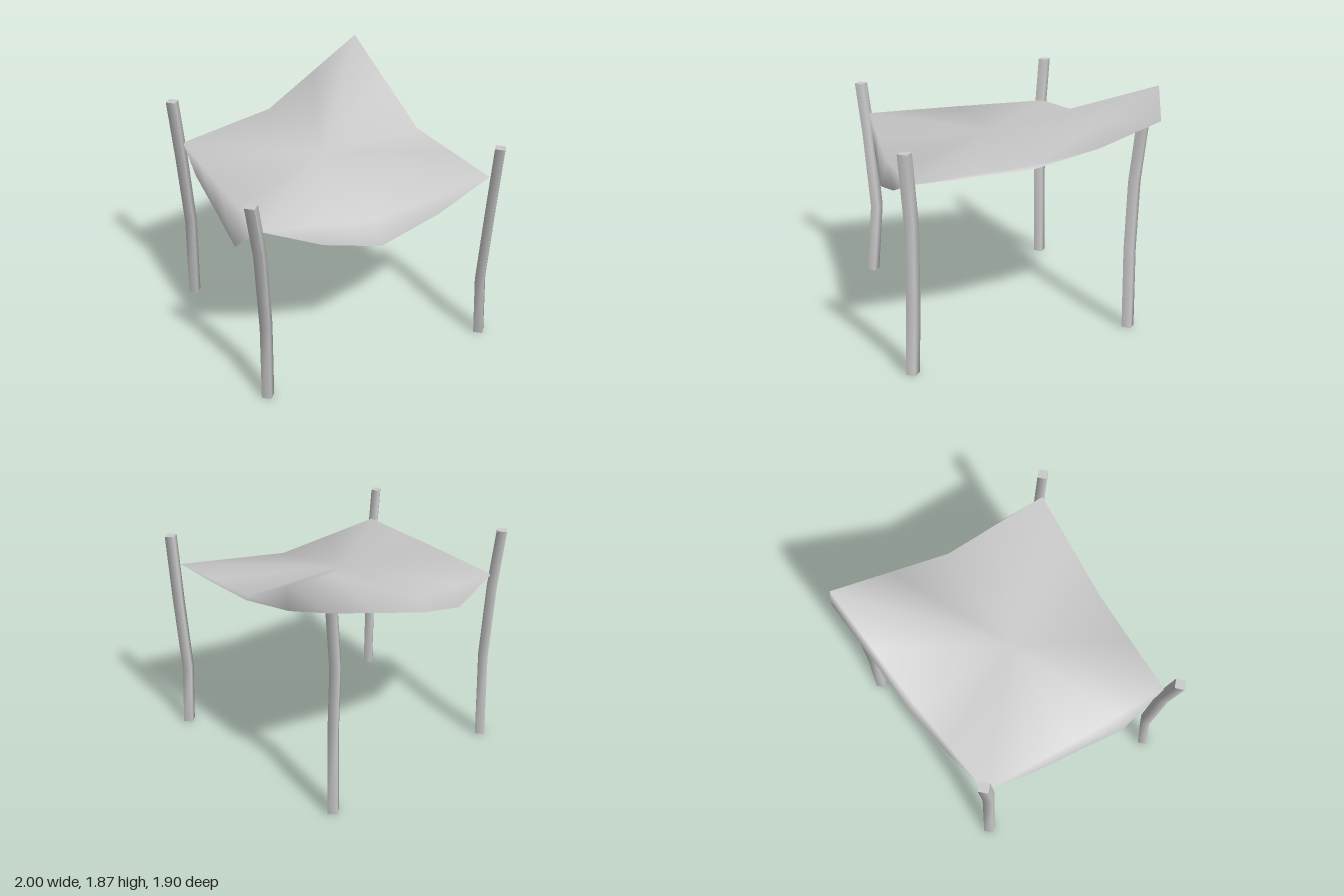
import * as THREE from 'three';

const material = new THREE.MeshStandardMaterial({ color: 0xcccccc, side: THREE.DoubleSide });

// Crooked four-sided pole: each ring of a cylinder is moved to a point [x, y, z], bottom to top
function makePole(name, path) {
  const segments = path.length - 1;
  const geometry = new THREE.CylinderGeometry(0.05, 0.05, 1, 4, segments);
  const pos = geometry.attributes.position;
  for (let i = 0; i < pos.count; i++) {
    const [x, y, z] = path[Math.round((pos.getY(i) + 0.5) * segments)];
    pos.setXYZ(i, pos.getX(i) + x, y, pos.getZ(i) + z);
  }
  geometry.computeVertexNormals();
  const mesh = new THREE.Mesh(geometry, material);
  mesh.name = name;
  return mesh;
}

// Cloth: a fan from the centre to a creased rim, then a flap hanging from rim to hem
function makeCanopy() {
  const centre = [0, 1.4, 0];
  // Corners and side midpoints of the crease, from front right corner round by the front
  const crease = [
    [-0.87, 1.365, 0.73], [0, 1.25, 0.8], [0.9, 1.365, 0.87], [0.87, 1.4, 0],
    [0.86, 1.87, -0.93], [0, 1.435, -0.83], [-0.79, 1.365, -0.74], [-0.84, 1.365, 0],
  ];
  // Lower hem, four points a side; null where the flap pinches out at a corner
  const hem = [
    null, [-0.43, 1.16, 0.79], [0, 1.05, 0.85], [0.47, 1.18, 0.865],
    null, [0.9, 1.365, 0.45], [0.885, 1.37, 0], [0.88, 1.47, -0.5],
    [0.885, 1.62, -0.95], [0.45, 1.48, -0.91], [0, 1.335, -0.87], [-0.41, 1.23, -0.8],
    null, [-0.84, 1.25, -0.4], [-0.87, 1.16, 0], [-0.9, 1.07, 0.38],
  ];
  const points = [centre];
  const add = (p) => points.push(p) - 1;
  const n = hem.length;
  const rimIds = [], hemIds = [];
  for (let i = 0; i < n; i++) {
    const a = crease[i >> 1], b = crease[((i >> 1) + 1) % crease.length];
    rimIds.push(add(i % 2 ? a.map((v, k) => (v + b[k]) / 2) : a));
    hemIds.push(hem[i] ? add(hem[i]) : rimIds[i]);
  }
  const index = [];
  const face = (a, b, c) => {
    if (a !== b && b !== c && a !== c) index.push(a, b, c);
  };
  for (let i = 0; i < n; i++) {
    const j = (i + 1) % n;
    face(0, rimIds[i], rimIds[j]);
    face(rimIds[i], hemIds[i], hemIds[j]);
    face(rimIds[i], hemIds[j], rimIds[j]);
  }
  const geometry = new THREE.BufferGeometry();
  geometry.setAttribute('position', new THREE.Float32BufferAttribute(points.flat(), 3));
  geometry.setIndex(index);
  geometry.computeVertexNormals();
  const mesh = new THREE.Mesh(geometry, material);
  mesh.name = 'canopy';
  return mesh;
}

export function createModel() {
  const model = new THREE.Group();
  model.name = 'clothShelter';
  model.add(
    makeCanopy(),
    makePole('frontRightPole', [[-0.865, 0, 0.75], [-0.84, 0.58, 0.705], [-0.885, 1.2, 0.74], [-0.95, 1.6, 0.77]]),
    makePole('frontLeftPole', [[0.925, 0, 0.88], [0.91, 0.49, 0.86], [0.945, 1.1, 0.865], [0.95, 1.6, 0.9]]),
    makePole('backRightPole', [[-0.785, 0, -0.735], [-0.78, 0.68, -0.72], [-0.815, 1.25, -0.73], [-0.84, 1.71, -0.77]]),
    makePole('backLeftPole', [[0.775, 0, -0.83], [0.765, 0.63, -0.82], [0.755, 1.15, -0.835], [0.81, 1.7, -0.86]]),
  );
  return model;
}
